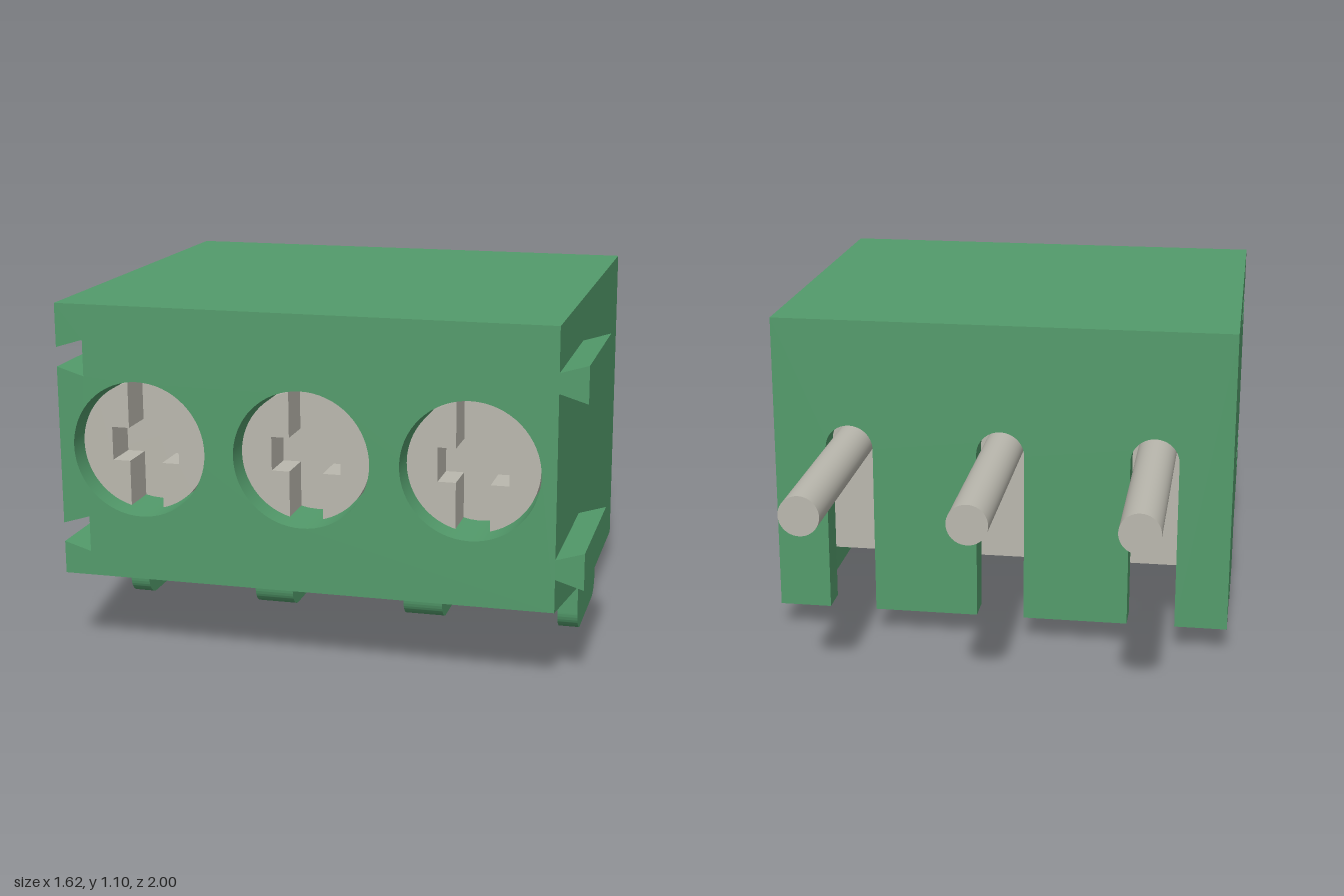
import * as THREE from 'three';
import { toCreasedNormals } from 'three/addons/utils/BufferGeometryUtils.js';

const X0 = -0.81, X1 = 0.72, TOP = 1.1, BASE = 0.085;
const POLES = [-0.555, -0.045, 0.465];
const AXIS_Y = 0.66;

export function createModel() {
  const group = new THREE.Group();
  const green = new THREE.MeshStandardMaterial({ color: 0x539b6b });
  green.name = 'green plastic';
  const metal = new THREE.MeshStandardMaterial({ color: 0xbab8ae });
  metal.name = 'grey metal';

  const add = (name, geo, mat, x = 0, y = 0, z = 0) => {
    const mesh = new THREE.Mesh(geo, mat);
    mesh.name = name;
    mesh.position.set(x, y, z);
    group.add(mesh);
    return mesh;
  };
  const polygon = (pts) => new THREE.Shape(pts.map(([x, y]) => new THREE.Vector2(x, y)));
  const extrude = (shape, depth) => toCreasedNormals(
    new THREE.ExtrudeGeometry(shape, { depth, bevelEnabled: false, curveSegments: 32 }), 0.6);
  // layer of an x-y outline between two z values
  const slab = (name, shape, z0, z1, mat = green) => add(name, extrude(shape, z1 - z0), mat, 0, 0, z0);
  // side profile (z, y) running between two x values
  const sideProfile = (name, shape, x0, x1) =>
    add(name, extrude(shape, x1 - x0).rotateY(-Math.PI / 2), green, x1);
  const drill = (shape) => {
    for (const x of POLES) {
      const hole = new THREE.Path();
      hole.absarc(x, AXIS_Y, 0.21, 0, Math.PI * 2, true);
      shape.holes.push(hole);
    }
    return shape;
  };

  // Front block with dovetail grooves and screw holes
  const dovetails = [0.382, 0.935];
  const front = [[X0, 0.25], [X1, 0.25], [X1, TOP], [X0, TOP]];
  for (const y of [...dovetails].reverse()) {
    front.push([X0, y + 0.03], [X0 + 0.085, y + 0.056], [X0 + 0.085, y - 0.056], [X0, y - 0.03]);
  }
  slab('frontBlock', drill(polygon(front)), 0.52, 1);
  slab('screwWall', drill(polygon([[X0, 0.25], [X1, 0.25], [X1, TOP], [X0, TOP]])), 0.42, 0.52);

  // Sloping underside below the screws
  sideProfile('frontChin', polygon([[0.42, BASE], [0.49, BASE], [0.49, 0.157], [1, 0.25], [0.42, 0.25]]), X0, X1);

  // Middle block with a well for each clamp, open at the bottom
  const middle = [[X0, TOP], [X0, BASE]];
  for (const x of POLES) {
    middle.push([x - 0.19, BASE], [x - 0.19, 0.92], [x + 0.19, 0.92], [x + 0.19, BASE]);
  }
  middle.push([X1, BASE], [X1, TOP]);
  slab('clampWells', polygon(middle), -0.24, 0.42);

  // Back wall with arched pin slots
  const back = new THREE.Shape();
  back.moveTo(X0, TOP);
  back.lineTo(X0, BASE);
  for (const x of POLES) {
    back.lineTo(x - 0.08, BASE);
    back.lineTo(x - 0.08, AXIS_Y);
    back.absarc(x, AXIS_Y, 0.08, Math.PI, 0, true);
    back.lineTo(x + 0.08, BASE);
  }
  back.lineTo(X1, BASE);
  back.lineTo(X1, TOP);
  slab('backWall', back, -0.34, -0.24);

  // Dovetail ridges on the left side
  for (const y of dovetails) {
    slab('dovetailRidge', polygon([[X1, y - 0.03], [X1 + 0.085, y - 0.056],
      [X1 + 0.085, y + 0.056], [X1, y + 0.03]]), 0.52, 1);
  }

  // Rounded feet under the ribs
  const r = 0.065, foot = new THREE.Shape();
  foot.moveTo(0.075, BASE);
  foot.lineTo(0.075, r);
  foot.absarc(0.075 + r, r, r, Math.PI, Math.PI * 1.5, false);
  foot.absarc(0.49 - r, r, r, -Math.PI / 2, 0, false);
  foot.lineTo(0.49, BASE);
  const gaps = POLES.flatMap((x) => [x - 0.19, x + 0.19]);
  const edges = [X0, ...gaps, X1];
  for (let i = 0; i < edges.length; i += 2) sideProfile('foot', foot, edges[i], edges[i + 1]);

  // Half of a screw head, cut back for the cross slot
  const a = Math.asin(0.052 / 0.2);
  const half = new THREE.Shape();
  half.absarc(0, 0, 0.2, -Math.PI / 2 + a, Math.PI / 2 - a, false);
  half.lineTo(0.052, 0.052);
  half.lineTo(0.107, 0.052);
  half.lineTo(0.107, -0.052);
  half.lineTo(0.052, -0.052);
  const halfGeo = extrude(half, 0.12);
  const rod = (radius, z0, z1) =>
    new THREE.CylinderGeometry(radius, radius, z1 - z0, 40).rotateX(Math.PI / 2).translate(0, 0, (z0 + z1) / 2);

  for (const x of POLES) {
    for (const turn of [0, Math.PI]) {
      add('screwHeadHalf', halfGeo, metal, x, AXIS_Y, 0.825).rotation.z = turn;
    }
    add('screwBody', rod(0.2, 0.36, 0.826), metal, x, AXIS_Y);
    add('clamp', new THREE.BoxGeometry(0.36, 0.66, 0.55), metal, x, 0.57, 0.1);
    add('pin', rod(0.064, -1, 0), metal, x, AXIS_Y);
  }
  return group;
}
